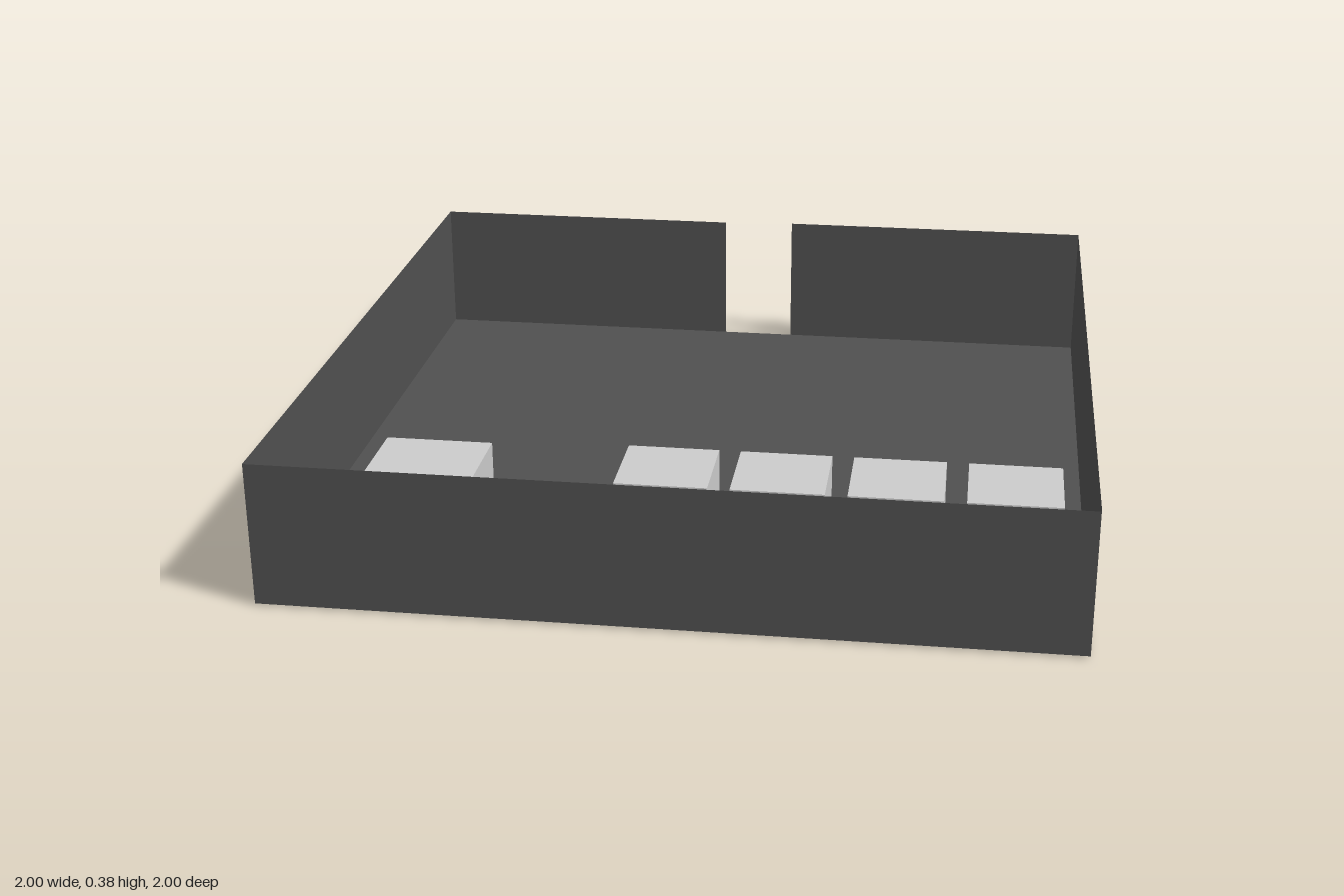
import * as THREE from 'three';

export function createModel() {
  const room = new THREE.Group();
  room.name = 'room';
  const dark = new THREE.MeshStandardMaterial({ color: 0x505050, side: THREE.DoubleSide });
  const grey = new THREE.MeshStandardMaterial({ color: 0xcccccc });
  const base = 0.005; // floor level, just above the undersides of the seats

  const add = (name, geometry, material, x, y, z) => {
    const mesh = new THREE.Mesh(geometry, material);
    mesh.name = name;
    mesh.position.set(x, y, z);
    room.add(mesh);
    return mesh;
  };

  // Floor sheet
  add('floor', new THREE.PlaneGeometry(2, 2), dark, 0, base, 0).rotation.x = -Math.PI / 2;

  // Thin upright wall between two floor points
  const wall = (name, x0, z0, x1, z1, top) => {
    const length = Math.hypot(x1 - x0, z1 - z0);
    const mesh = add(name, new THREE.PlaneGeometry(length, top - base), dark,
      (x0 + x1) / 2, (top + base) / 2, (z0 + z1) / 2);
    mesh.rotation.y = -Math.atan2(z1 - z0, x1 - x0);
  };
  wall('frontWall', -1, 1, 1, 1, 0.375);
  wall('leftWall', 1, 1, 1, -1, 0.38);
  wall('rightWall', -1, -1, -1, 1, 0.375);
  // Back wall in two pieces, leaving the doorway open
  wall('backWallLeft', 0.105, -1, 1, -1, 0.38);
  wall('backWallRight', -1, -1, -0.105, -1, 0.375);

  // Solid block given by its bounds
  const block = (name, x0, x1, y0, y1, z0, z1) =>
    add(name, new THREE.BoxGeometry(x1 - x0, y1 - y0, z1 - z0), grey,
      (x0 + x1) / 2, (y0 + y1) / 2, (z0 + z1) / 2);

  // Long counter with a row of four seats
  block('longCounter', -0.21, 0.94, 0.007, 0.135, 0.515, 0.715);
  for (let i = 0; i < 4; i++) {
    const x = -0.21 + i * 0.303;
    block('seat', x, x + 0.245, 0, 0.135, 0.235, 0.48);
  }

  // Short counter with one wider seat
  block('shortCounter', -0.97, -0.42, 0.007, 0.135, 0.515, 0.715);
  block('wideSeat', -0.87, -0.58, 0, 0.132, 0.26, 0.503);

  return room;
}
